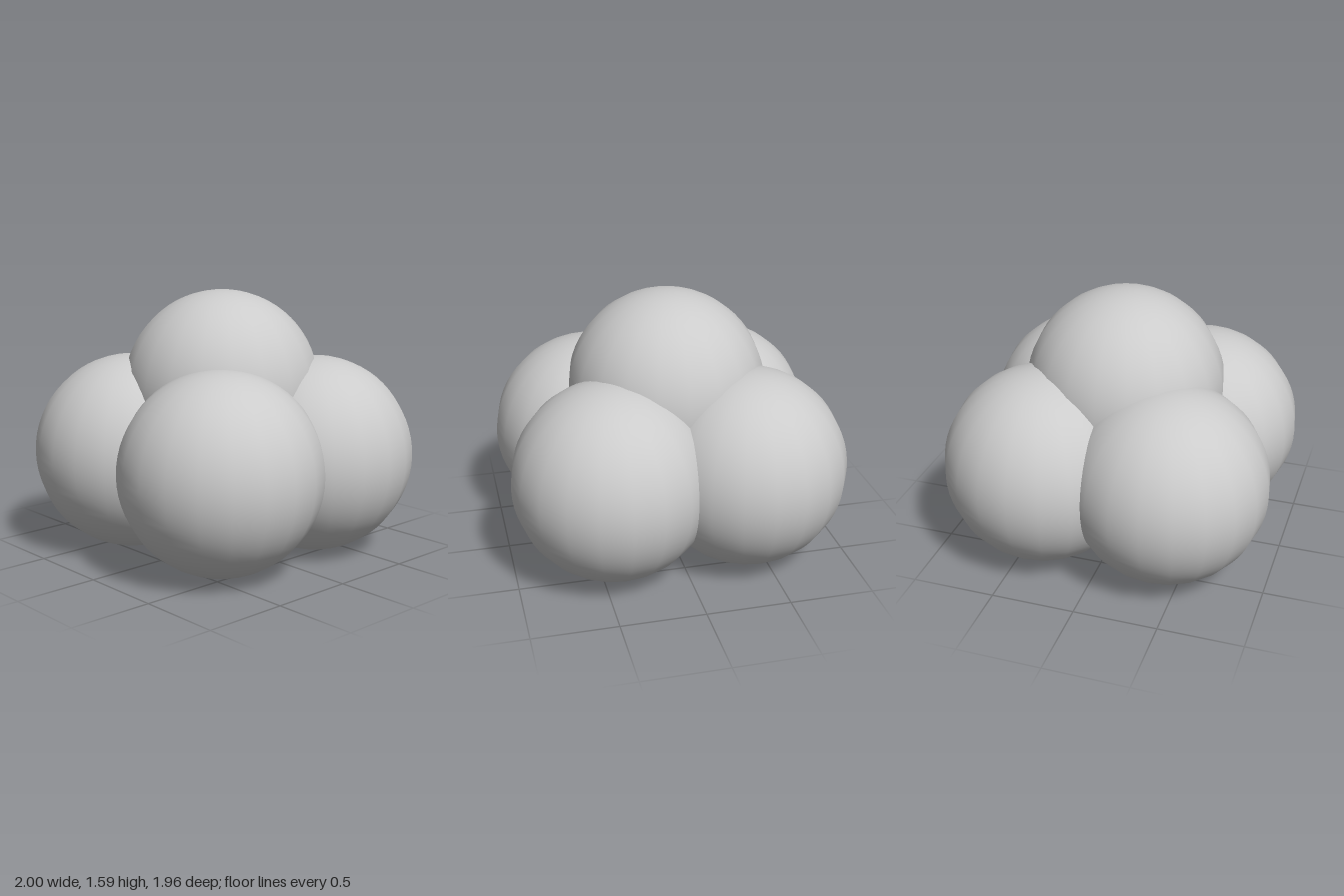
import * as THREE from 'three';

export function createModel() {
  const model = new THREE.Group();
  model.name = 'ballPile';
  const material = new THREE.MeshStandardMaterial({ color: 0xcccccc });
  const radius = 0.595;
  const geometry = new THREE.SphereGeometry(radius, 20, 32);

  function addBall(name, x, y, z) {
    const ball = new THREE.Mesh(geometry, material);
    ball.name = name;
    ball.position.set(x, y, z);
    model.add(ball);
  }

  // Four overlapping balls resting on the ground
  for (const [side, sx] of [['Left', 1], ['Right', -1]]) {
    for (const [end, sz] of [['front', 1], ['back', -1]]) {
      addBall(`${end}${side}Ball`, sx * 0.405, radius, sz * 0.385);
    }
  }

  // Fifth ball nested in the middle on top
  addBall('topBall', -0.005, 0.99, 0.003);

  return model;
}
